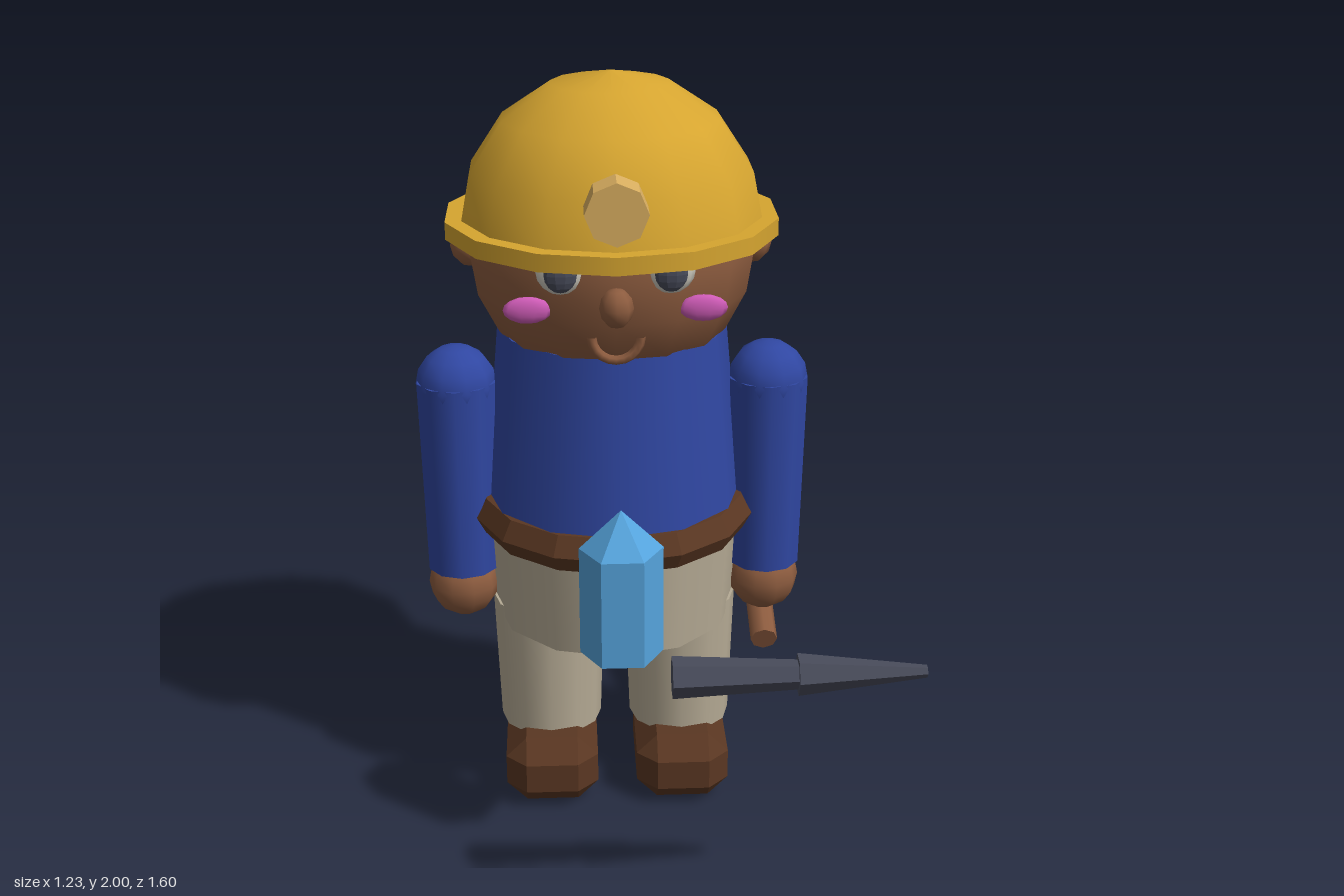
import * as THREE from 'three';
import { ConvexGeometry } from 'three/addons/geometries/ConvexGeometry.js';

const CX = -0.095, CZ = -0.065; // body axis

function makeMaterial(name, color, flatShading = false) {
  const m = new THREE.MeshStandardMaterial({ color, flatShading });
  m.name = name;
  return m;
}

export function createModel() {
  const group = new THREE.Group();
  group.name = 'miner';

  const yellow = makeMaterial('helmetYellow', 0xd6a530);
  const tan = makeMaterial('lampTan', 0xd9ae60, true);
  const skin = makeMaterial('skinBrown', 0x8d5c3f);
  const blue = makeMaterial('shirtBlue', 0x3047a2);
  const beige = makeMaterial('trouserBeige', 0xb6ab95);
  const leather = makeMaterial('leatherBrown', 0x5a3722, true);
  const pink = makeMaterial('cheekPink', 0xd05cb8);
  const white = makeMaterial('eyeWhite', 0xd0ccc0);
  const iron = makeMaterial('ironGrey', 0x484b5a, true);
  const crystalBlue = makeMaterial('crystalBlue', 0x55a3dc, true);

  function add(name, geometry, material, x, y, z) {
    const mesh = new THREE.Mesh(geometry, material);
    mesh.name = name;
    mesh.position.set(x, y, z);
    group.add(mesh);
    return mesh;
  }
  // Upright tapered cylinder between two heights
  function column(name, material, x, z, y0, y1, r0, r1, sides) {
    return add(name, new THREE.CylinderGeometry(r1, r0, y1 - y0, sides), material, x, (y0 + y1) / 2, z);
  }
  function ellipsoid(name, material, x, y, z, rx, ry, rz, w = 10, h = 8) {
    const mesh = add(name, new THREE.SphereGeometry(1, w, h), material, x, y, z);
    mesh.scale.set(rx, ry, rz);
    return mesh;
  }
  // Box with all edges and corners cut off
  function chamferedBox(w, h, d, c) {
    const pts = [];
    for (const sx of [-1, 1]) for (const sy of [-1, 1]) for (const sz of [-1, 1]) {
      pts.push(
        new THREE.Vector3(sx * w, sy * (h - c), sz * (d - c)),
        new THREE.Vector3(sx * (w - c), sy * h, sz * (d - c)),
        new THREE.Vector3(sx * (w - c), sy * (h - c), sz * d));
    }
    return new ConvexGeometry(pts);
  }

  // Torso, shorts and belt
  column('torso', blue, CX, CZ, 0.8, 1.345, 0.35, 0.3, 12);
  column('shorts', beige, CX, CZ, 0.525, 0.82, 0.325, 0.343, 12);
  const beltProfile = [[0.32, 0.78], [0.355, 0.78], [0.379, 0.825], [0.35, 0.877], [0.31, 0.877]]
    .map(([r, y]) => new THREE.Vector2(r, y));
  add('belt', new THREE.LatheGeometry(beltProfile, 14), leather, CX, 0, CZ);
  add('buckle', new THREE.BoxGeometry(0.1, 0.07, 0.02), yellow, CX, 0.825, 0.308);

  // Head and helmet
  const head = ellipsoid('head', skin, CX, 1.56, CZ, 0.37, 0.37, 0.37, 14, 10);
  head.rotation.y = Math.PI / 2;
  const dome = [];
  for (let i = 0; i <= 4; i++) {
    const a = (i / 4) * Math.PI / 2;
    dome.push(new THREE.Vector2(0.395 * Math.cos(a), 0.395 * Math.sin(a)));
  }
  dome[4].x = 0;
  add('helmetDome', new THREE.LatheGeometry(dome, 14), yellow, CX, 1.605, CZ);
  column('helmetBrim', yellow, CX, CZ, 1.597, 1.642, 0.43, 0.43, 14);
  add('headLamp', new THREE.CylinderGeometry(0.076, 0.076, 0.09, 8), tan, CX, 1.753, 0.355)
    .rotation.x = Math.PI / 2;

  // Face
  ellipsoid('nose', skin, CX, 1.505, 0.322, 0.042, 0.05, 0.044, 8, 6);
  add('mouth', new THREE.TorusGeometry(0.06, 0.012, 6, 10, Math.PI), skin, CX, 1.42, 0.284)
    .rotation.z = Math.PI;

  // Paired parts
  for (const [side, s] of [['right', -1], ['left', 1]]) {
    const armX = CX + s * 0.413, legX = CX + s * 0.181;
    ellipsoid(side + 'Ear', skin, CX + s * 0.36, 1.555, CZ, 0.054, 0.054, 0.054, 8, 6);
    ellipsoid(side + 'Eye', white, CX + s * 0.133, 1.585, 0.272, 0.06, 0.06, 0.028);
    ellipsoid(side + 'Pupil', iron, CX + s * 0.133, 1.58, 0.292, 0.04, 0.045, 0.02);
    ellipsoid(side + 'Cheek', pink, CX + s * 0.214, 1.48, 0.25, 0.06, 0.034, 0.017);

    ellipsoid(side + 'Shoulder', blue, armX, 1.18, CZ, 0.107, 0.105, 0.107);
    column(side + 'Sleeve', blue, armX, CZ, 0.65, 1.19, 0.097, 0.108, 10);
    ellipsoid(side + 'Hand', skin, armX, 0.6, CZ, 0.097, 0.096, 0.097);

    column(side + 'Leg', beige, legX, CZ, 0.18, 0.56, 0.14, 0.153, 12);
    add(side + 'Shoe', chamferedBox(0.127, 0.098, 0.185, 0.056), leather, legX, 0.098, -0.015);
  }

  // Crystal in front of the belly
  column('crystalShaft', crystalBlue, CX + 0.003, 0.453, 0.65, 0.935, 0.104, 0.104, 6).rotation.y = Math.PI / 6;
  column('crystalTip', crystalBlue, CX + 0.003, 0.453, 0.935, 1.035, 0.104, 0, 6).rotation.y = Math.PI / 6;

  // Pick head: two tapering pieces along x
  for (const [name, x0, x1, r0, r1] of [['pickBase', 0.015, 0.31, 0.05, 0.035], ['pickPoint', 0.31, 0.615, 0.05, 0.015]]) {
    add(name, new THREE.CylinderGeometry(r1, r0, x1 - x0, 6), iron, (x0 + x1) / 2, 0.74, 0.752)
      .rotation.z = -Math.PI / 2;
  }

  // Pick handle, slanting up and back from the left hand
  const a = new THREE.Vector3(0.317, 0.437, 0.018), b = new THREE.Vector3(0.317, 0.728, -0.785);
  const handle = add('pickHandle', new THREE.CylinderGeometry(0.037, 0.037, a.distanceTo(b), 8), skin,
    0.317, (a.y + b.y) / 2, (a.z + b.z) / 2);
  handle.quaternion.setFromUnitVectors(new THREE.Vector3(0, 1, 0), b.clone().sub(a).normalize());

  return group;
}
